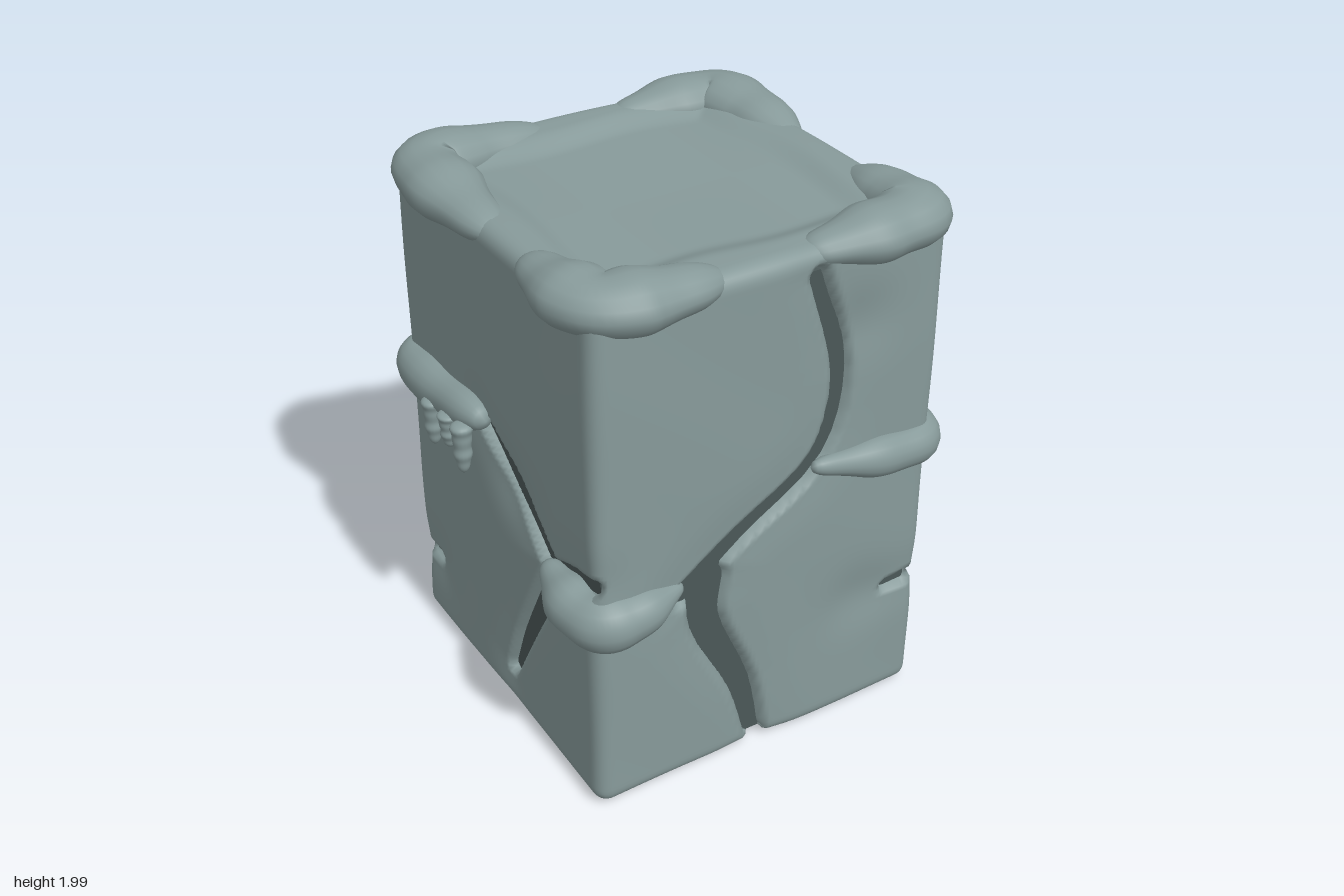
import * as THREE from 'three';
import { mergeVertices } from 'three/addons/utils/BufferGeometryUtils.js';

const { lerp, clamp, smoothstep } = THREE.MathUtils;
const V = (x, y, z) => new THREE.Vector3(x, y, z);

const stone = new THREE.MeshStandardMaterial({ color: 0x879a9a });
stone.name = 'blue grey stone';
const darkStone = new THREE.MeshStandardMaterial({ color: 0x4b5858 });
darkStone.name = 'dark inner stone';

// Extent of the stone block
const LO = V(-0.655, 0.01, -0.68), HI = V(0.685, 1.94, 0.69);

// Places (across, up) coordinates on each side of the block
const onFace = {
  front: (a, b) => V(a, b, HI.z),
  back: (a, b) => V(a, b, LO.z),
  left: (a, b) => V(HI.x, b, a),
  right: (a, b) => V(LO.x, b, a),
  bottom: (a, b) => V(a, LO.y, b),
};

// A crack follows a smooth curve, its half width running from w0 to w1
const cracks = [];
function crack(face, w0, w1, ...pts) {
  const curve = new THREE.CatmullRomCurve3(pts.map(([a, b]) => onFace[face](a, b)), false, 'centripetal');
  const n = 4 * (pts.length - 1);
  cracks.push(curve.getPoints(n).map((p, i) => ({ p, w: lerp(w0, w1, i / n) })));
}
crack('front', 0.016, 0.028, [0.17, 1.84], [0.28, 1.46], [0.21, 1.17], [-0.1, 0.95], [-0.31, 0.79]);
crack('front', 0.06, 0.018, [-0.22, 0.8], [-0.22, 0.64], [-0.07, 0.3], [0, 0.01]);
crack('left', 0.025, 0.042, [0.4, 1.18], [0.1, 1.16], [-0.13, 1.09], [-0.26, 0.78]);
crack('left', 0.035, 0.012, [-0.25, 0.76], [-0.06, 0.42], [0.04, 0.18], [0.14, 0.11]);
crack('left', 0.02, 0.012, [0.03, 0.19], [-0.11, 0.11]);
crack('left', 0.018, 0.016, [0.06, 1.4], [0.1, 1.32]);
crack('left', 0.012, 0.012, [-0.12, 1.13], [-0.66, 1.31]);
crack('back', 0.016, 0.055, [0.45, 1.58], [0.02, 1.22], [-0.24, 0.8]);
crack('back', 0.05, 0.018, [-0.24, 0.8], [-0.03, 0.38], [0.04, 0.01]);
crack('right', 0.02, 0.035, [-0.1, 1.18], [0.15, 1.02], [0.39, 0.83]);
crack('right', 0.035, 0.015, [0.39, 0.83], [0.55, 0.9], [0.68, 0.93]);
crack('right', 0.04, 0.012, [0.38, 0.82], [0.13, 0.37], [0.04, 0.18]);
crack('bottom', 0.015, 0.015, [0, 0.69], [0.04, -0.68]);
// Small chips near the lower corners
crack('front', 0.003, 0.012, [0.54, 0.49], [0.64, 0.5]);
crack('left', 0.012, 0.003, [0.65, 0.51], [0.53, 0.5]);
crack('left', 0.006, 0.018, [-0.56, 0.27], [-0.67, 0.32]);
crack('back', 0.016, 0.006, [0.65, 0.33], [0.48, 0.27]);
crack('right', 0.012, 0.004, [-0.66, 0.3], [-0.54, 0.3]);

// Shallow hollows in the faces
const hollows = [
  onFace.front(0.36, 1.62), onFace.front(0.4, 0.5), onFace.left(-0.25, 1.7),
  onFace.right(0.1, 1), onFace.back(-0.45, 0.8),
];

// Distance to the rim of the nearest crack
function crackDistance(p) {
  let best = 9;
  const ab = V(), ap = V();
  for (const line of cracks) {
    for (let i = 0; i + 1 < line.length; i++) {
      const a = line[i], b = line[i + 1];
      ab.subVectors(b.p, a.p);
      ap.subVectors(p, a.p);
      const t = clamp(ap.dot(ab) / ab.lengthSq(), 0, 1);
      best = Math.min(best, ap.addScaledVector(ab, -t).length() - lerp(a.w, b.w, t));
    }
  }
  return best;
}

// Welds the seams and gives smooth normals
function smooth(geo) {
  geo.deleteAttribute('normal');
  geo.deleteAttribute('uv');
  const out = mergeVertices(geo, 1e-4);
  out.computeVertexNormals();
  return out;
}

// Rounded block, pushed inwards along cracks and hollows, dished on top
function crackedBlock() {
  const size = V().subVectors(HI, LO), mid = V().addVectors(HI, LO).multiplyScalar(0.5);
  const geo = new THREE.BoxGeometry(size.x, size.y, size.z, 80, 116, 80);
  geo.translate(mid.x, mid.y, mid.z);
  const r = 0.06, lo = LO.clone().addScalar(r), hi = HI.clone().addScalar(-r);
  const pos = geo.attributes.position, p = V(), inner = V(), n = V();
  for (let i = 0; i < pos.count; i++) {
    p.fromBufferAttribute(pos, i);
    inner.copy(p).clamp(lo, hi);
    n.subVectors(p, inner).normalize();
    p.copy(inner).addScaledVector(n, r);
    const e = crackDistance(p);
    let depth = 0.09 * (1 - smoothstep(e, -0.02, 0.03));
    depth += 0.01 * Math.exp(-((Math.max(e, 0) / 0.1) ** 2));
    depth += 0.004 * (1 + Math.sin(p.x * 6 + p.y * 4) * Math.sin(p.z * 5 - p.y * 3 + 1));
    for (const c of hollows) depth += 0.018 * Math.exp(-p.distanceToSquared(c) / 0.017);
    if (n.y > 0.9) {
      const edge = Math.max(Math.abs(p.x), Math.abs(p.z)) + 0.015 * Math.sin(p.x * 9 + p.z * 7);
      depth += 0.035 * (1 - smoothstep(edge, 0.43, 0.56));
    }
    p.addScaledVector(n, -depth);
    pos.setXYZ(i, p.x, p.y, p.z);
  }
  return smooth(geo);
}

// Soft round-ended roll along a path; start and end scale the radius there
function roll(name, pts, radius, start, end, squash = 1) {
  const segs = 56, sides = 16;
  const curve = new THREE.CatmullRomCurve3(pts, false, 'centripetal');
  const geo = new THREE.TubeGeometry(curve, segs, 1, sides, false);
  const pos = geo.attributes.position, v = V();
  for (let i = 0; i <= segs; i++) {
    const t = i / segs, c = curve.getPointAt(t);
    const taper = lerp(start, 1, smoothstep(t, 0, 0.4)) * lerp(end, 1, smoothstep(1 - t, 0, 0.4));
    const cap = Math.sqrt(Math.max(1 - Math.abs(2 * t - 1) ** 8, 0));
    const r = radius * taper * cap * (1 + 0.05 * Math.sin(t * 23 + pts[0].x * 9));
    for (let j = 0; j <= sides; j++) {
      const id = i * (sides + 1) + j;
      v.fromBufferAttribute(pos, id).sub(c).multiplyScalar(r);
      v.y *= squash;
      v.add(c);
      pos.setXYZ(id, v.x, v.y, v.z);
    }
  }
  const mesh = new THREE.Mesh(smooth(geo), stone);
  mesh.name = name;
  return mesh;
}

// Path round one corner, from (x, y0) on the front or back to (z, y2) on the side
function cornerPath(sx, sz, inset, x, y0, y1, z, y2) {
  const cx = sx * inset + 0.015, cz = sz * inset + 0.005;
  return [
    V(x, y0, cz), V(lerp(x, cx, 0.6), lerp(y0, y1, 0.8), cz),
    V(cx - sx * 0.035, y1, cz - sz * 0.035),
    V(cx, lerp(y2, y1, 0.8), lerp(z, cz, 0.6)), V(cx, y2, z),
  ];
}

export function createModel() {
  const model = new THREE.Group();
  model.name = 'crackedBlock';

  const block = new THREE.Mesh(crackedBlock(), stone);
  block.name = 'stoneBlock';
  model.add(block);

  // Dark core seen through the cracks
  const core = new THREE.Mesh(new THREE.BoxGeometry(1.25, 1.79, 1.28), darkStone);
  core.position.set(0.015, 0.95, 0.005);
  core.name = 'innerCore';
  model.add(core);

  // Soft caps over the four top corners
  for (const [sx, sz, x, z] of [[1, 1, 0.14, 0.2], [-1, 1, -0.14, 0.2], [1, -1, 0.18, -0.1], [-1, -1, -0.08, 0.02]]) {
    model.add(roll('topCornerCap', cornerPath(sx, sz, 0.61, x, 1.9, 1.905, z, 1.895), 0.13, 0.6, 0.6, 0.72));
  }

  // Rolls draped around the corners at mid height
  model.add(
    roll('frontLeftRoll', cornerPath(1, 1, 0.675, 0.17, 1.13, 1.07, 0.22, 1.16), 0.072, 0.5, 0.5, 1.1),
    roll('frontRightRoll', cornerPath(-1, 1, 0.655, -0.31, 0.83, 0.78, 0.33, 0.84), 0.103, 0.4, 0.5),
    roll('backRightRoll', cornerPath(-1, -1, 0.675, -0.06, 1.12, 1.14, -0.03, 1.2), 0.083, 0.8, 0.8),
    roll('backLeftRoll', cornerPath(1, -1, 0.665, 0.06, 1.25, 1.22, -0.08, 1.19), 0.08, 0.6, 0.25),
  );

  // Drips hanging from the rolls: x, z, top, bottom
  for (const [x, z, top, low] of [
    [0.72, 0.4, 1.13, 0.955], [0.72, 0.33, 1.13, 1.04],
    [-0.72, -0.33, 1.16, 0.97], [-0.72, -0.1, 1.18, 0.98], [-0.72, -0.2, 1.17, 1.03],
    [-0.16, -0.72, 1.12, 0.95], [0.41, -0.725, 1.21, 0.985], [0.5, -0.72, 1.2, 1.09],
  ]) {
    model.add(roll('drip', [V(x, top, z), V(x, low, z)], 0.032, 1.4, 0.6));
  }
  return model;
}
